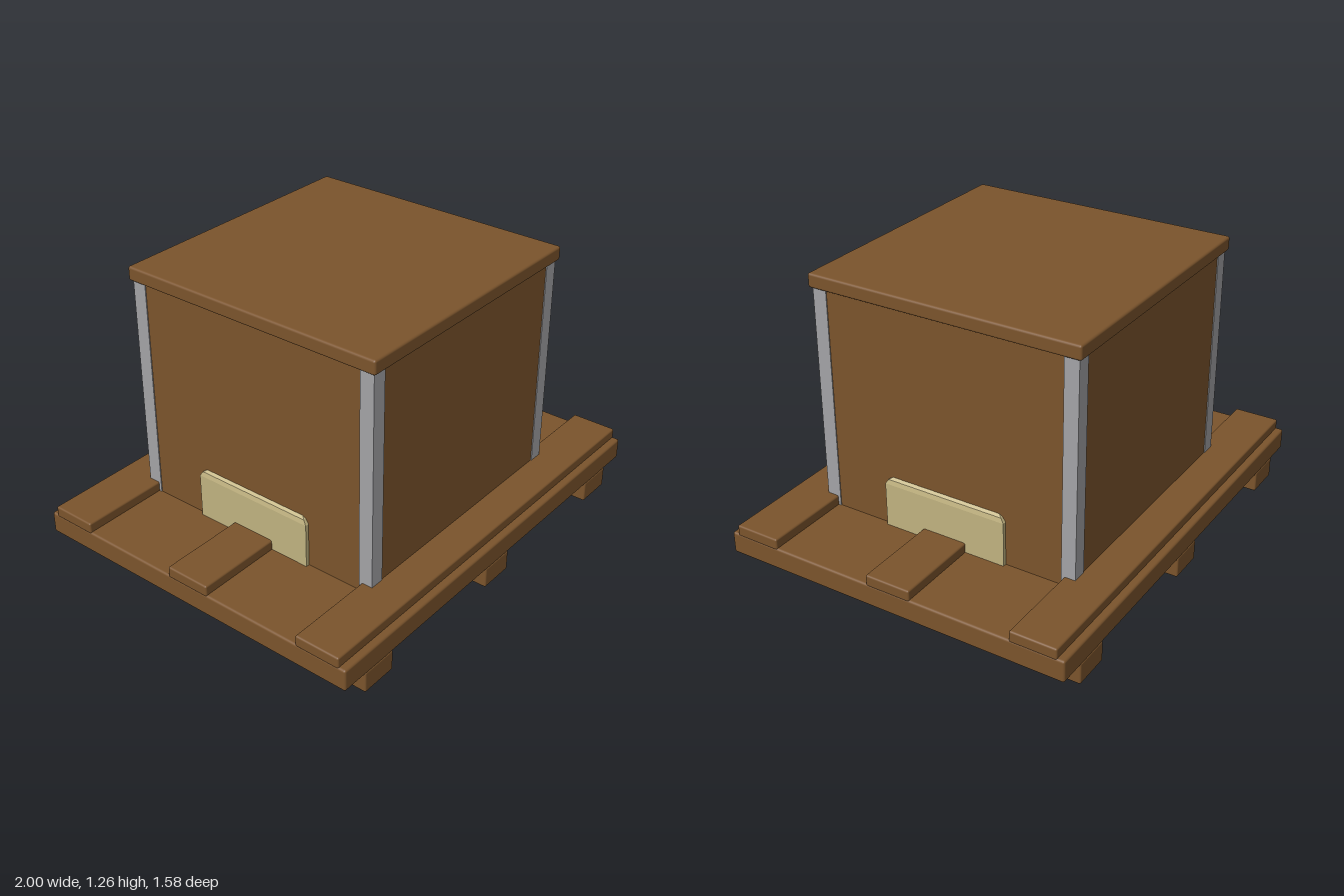
import * as THREE from 'three';
import { RoundedBoxGeometry } from 'three/addons/geometries/RoundedBoxGeometry.js';
import { ConvexGeometry } from 'three/addons/geometries/ConvexGeometry.js';

function material(name, color) {
  const m = new THREE.MeshStandardMaterial({ color });
  m.name = name;
  return m;
}

export function createModel() {
  const model = new THREE.Group();
  model.name = 'crateOnPallet';
  const wood = material('brownWood', 0x7b542c);
  const metal = material('greyMetal', 0xa3a3a6);
  const straw = material('paleStraw', 0xc0b280);

  // Box given by its centre x and z, bottom and top y, and width and depth
  function box(name, mat, x, z, y0, y1, w, d, bevel = 0) {
    const geometry = bevel
      ? new RoundedBoxGeometry(w, y1 - y0, d, 2, bevel)
      : new THREE.BoxGeometry(w, y1 - y0, d);
    const mesh = new THREE.Mesh(geometry, mat);
    mesh.name = name;
    mesh.position.set(x, (y0 + y1) / 2, z);
    model.add(mesh);
  }

  // Pallet: runners, deck and raised slats
  for (const [x, w] of [[-0.795, 0.17], [0, 0.165], [0.795, 0.17]]) {
    box('palletRunner', wood, x, 0, 0.02, 0.115, w, 1.58, 0.008);
  }
  box('palletDeck', wood, 0, 0, 0.11, 0.207, 2, 1.58, 0.01);
  for (const z of [-0.655, 0, 0.655]) {
    box('palletSlat', wood, 0, z, 0.2, 0.25, 2, 0.205, 0.008);
  }

  // Crate body and lid
  box('crateBody', wood, 0, 0, 0.021, 1.2, 1.2, 1.2);
  box('crateLid', wood, 0, 0, 1.195, 1.257, 1.235, 1.235, 0.01);

  // Corner posts, just proud of the walls
  for (const x of [-1, 1]) {
    for (const z of [-1, 1]) {
      box('cornerPost', metal, x * 0.572, z * 0.572, 0, 1.2, 0.064, 0.064);
    }
  }

  // Pale block showing through both side walls, chamfered top and bottom
  const corners = [];
  for (const [y, x, z] of [
    [0.03, 0.56, 0.24], [0.09, 0.6, 0.265], [0.13, 0.617, 0.285],
    [0.405, 0.617, 0.285], [0.425, 0.612, 0.272], [0.442, 0.59, 0.243],
  ]) {
    for (const sx of [-1, 1]) {
      for (const sz of [-1, 1]) corners.push(new THREE.Vector3(sx * x, y, sz * z));
    }
  }
  const block = new THREE.Mesh(new ConvexGeometry(corners), straw);
  block.name = 'sidePanels';
  model.add(block);

  return model;
}
